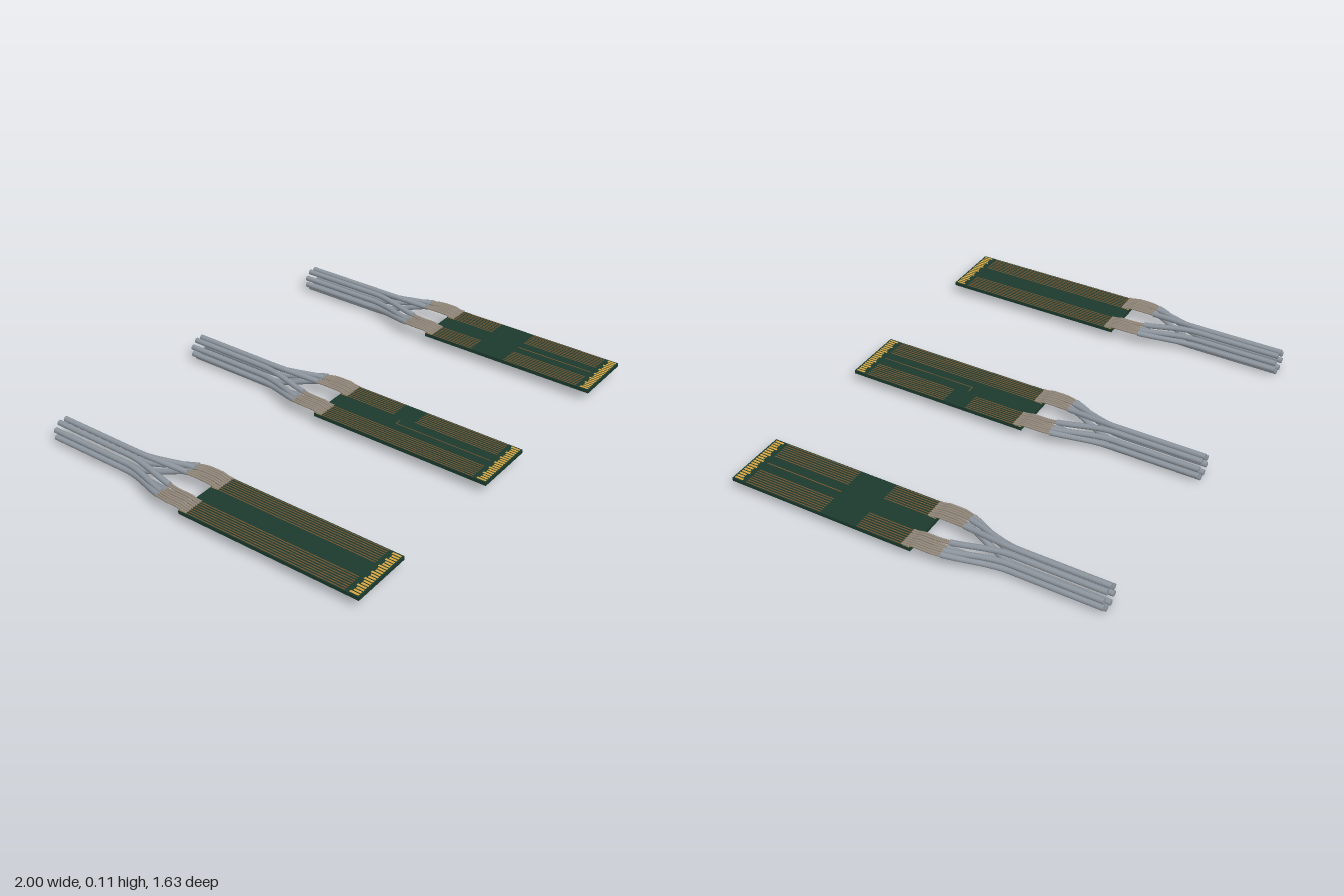
import * as THREE from 'three';

const mat = (color, extra = {}) => new THREE.MeshStandardMaterial({ color, ...extra });
const MAT = {
  board: mat(0x1c3a2e),
  copper: mat(0x80562f),
  gold: mat(0xd9a640),
  jacket: mat(0x8d959e),
  wire: mat(0x94897c),
};

const HALF_W = 0.1435, TOP = 0.063, BOTTOM = 0.047, BACK = -0.04, FRONT = 0.815;
const RING_Y = 0.055, RING_R = 0.046, CABLE_R = 0.0125;
const FAN_X = [0.057, 0.082, 0.107, 0.131]; // solder positions on one side
const RING_ANGLES = [67.5, -67.5, 22.5, -22.5]; // bundle position of each cable

function add(parent, name, geometry, material) {
  const mesh = new THREE.Mesh(geometry, material);
  mesh.name = name;
  parent.add(mesh);
  return mesh;
}

function box(parent, name, material, x0, x1, y0, y1, z0, z1) {
  const mesh = add(parent, name, new THREE.BoxGeometry(x1 - x0, y1 - y0, z1 - z0), material);
  mesh.position.set((x0 + x1) / 2, (y0 + y1) / 2, (z0 + z1) / 2);
  return mesh;
}

// Centre line of a cable: flat on the board, easing into the round bundle
function cablePoint(side, slot, z) {
  const t = THREE.MathUtils.smoothstep(-z, 0.1, 0.42);
  const lift = THREE.MathUtils.smoothstep(-z, 0.015, 0.055);
  const a = THREE.MathUtils.degToRad(RING_ANGLES[slot]);
  const x = THREE.MathUtils.lerp(FAN_X[slot], RING_R * Math.cos(a), t);
  const y = THREE.MathUtils.lerp(0.066 + 0.008 * lift, RING_Y + (RING_R - 0.0005) * Math.sin(a), t);
  return new THREE.Vector3(side * x, y, z);
}

function cablePath(side, slot, z0, z1, steps, shift = 0) {
  const points = [];
  for (let i = 0; i <= steps; i++) {
    const p = cablePoint(side, slot, THREE.MathUtils.lerp(z0, z1, i / steps));
    p.x += shift;
    points.push(p);
  }
  return new THREE.CatmullRomCurve3(points);
}

function cable(side, slot) {
  const group = new THREE.Group();
  group.name = 'cable';
  // Jacket with closed ends
  const path = cablePath(side, slot, -0.165, -FRONT, 18);
  add(group, 'jacket', new THREE.TubeGeometry(path, 40, CABLE_R, 12), MAT.jacket);
  for (const end of [0, 1]) {
    const cap = add(group, 'jacketEnd', new THREE.CircleGeometry(CABLE_R, 12), MAT.jacket);
    const p = path.getPoint(end);
    const dir = path.getTangent(end).multiplyScalar(end ? 1 : -1);
    cap.position.copy(p);
    cap.lookAt(p.clone().add(dir));
  }
  // Twin conductors running down to the solder pads
  for (const shift of [-0.0058, 0.0058]) {
    const wire = cablePath(side, slot, 0.0, -0.175, 14, shift);
    add(group, 'conductor', new THREE.TubeGeometry(wire, 20, 0.005, 8), MAT.wire);
  }
  return group;
}

// gap(x) returns the [start, end] z range without copper, or null
function module(gap) {
  const group = new THREE.Group();
  group.name = 'cableBoard';
  box(group, 'circuitBoard', MAT.board, -HALF_W, HALF_W, BOTTOM, TOP, BACK, FRONT);

  for (const side of [-1, 1]) {
    for (let slot = 0; slot < 4; slot++) {
      group.add(cable(side, slot));
      for (const shift of [-0.006, 0.006]) {
        const x = side * FAN_X[slot] + shift;
        box(group, 'solderPad', MAT.gold, x - 0.0045, x + 0.0045, TOP, TOP + 0.0012, -0.035, -0.005);
        // Traces, split where the copper is covered
        const hole = gap(x);
        const runs = hole ? [[-0.005, hole[0]], [hole[1], 0.75]] : [[-0.005, 0.75]];
        for (const [z0, z1] of runs)
          box(group, 'trace', MAT.copper, x - 0.002, x + 0.002, TOP, TOP + 0.0008, z0, z1);
      }
    }
  }

  // Edge contacts on both faces, alternating long and short
  const count = 19;
  for (let i = 0; i < count; i++) {
    const x = -0.132 + (0.264 * i) / (count - 1);
    const z0 = i % 3 === 0 ? 0.768 : 0.776;
    box(group, 'edgeContact', MAT.gold, x - 0.0045, x + 0.0045, TOP, TOP + 0.0012, z0, 0.808);
    box(group, 'edgeContactBelow', MAT.gold, x - 0.0045, x + 0.0045, BOTTOM - 0.0012, BOTTOM, z0, 0.808);
  }
  return group;
}

export function createModel() {
  const model = new THREE.Group();
  model.name = 'cableBoards';

  const left = module(() => null);
  const middle = module((x) => (x > 0.03 ? [0.24, 0.35] : null));
  const right = module(() => [0.21, 0.38]);

  // Extra centre traces on two of the boards
  box(middle, 'centreTrace', MAT.copper, -0.004, -0.001, TOP, TOP + 0.0008, 0.29, 0.75);
  box(middle, 'centreTraceJog', MAT.copper, -0.004, 0.03, TOP, TOP + 0.0008, 0.287, 0.29);
  box(right, 'centreTrace', MAT.copper, -0.002, 0.002, TOP, TOP + 0.0008, 0.38, 0.75);

  [left, middle, right].forEach((part, i) => {
    part.position.x = (i - 1) * (1 - HALF_W);
    model.add(part);
  });
  return model;
}
